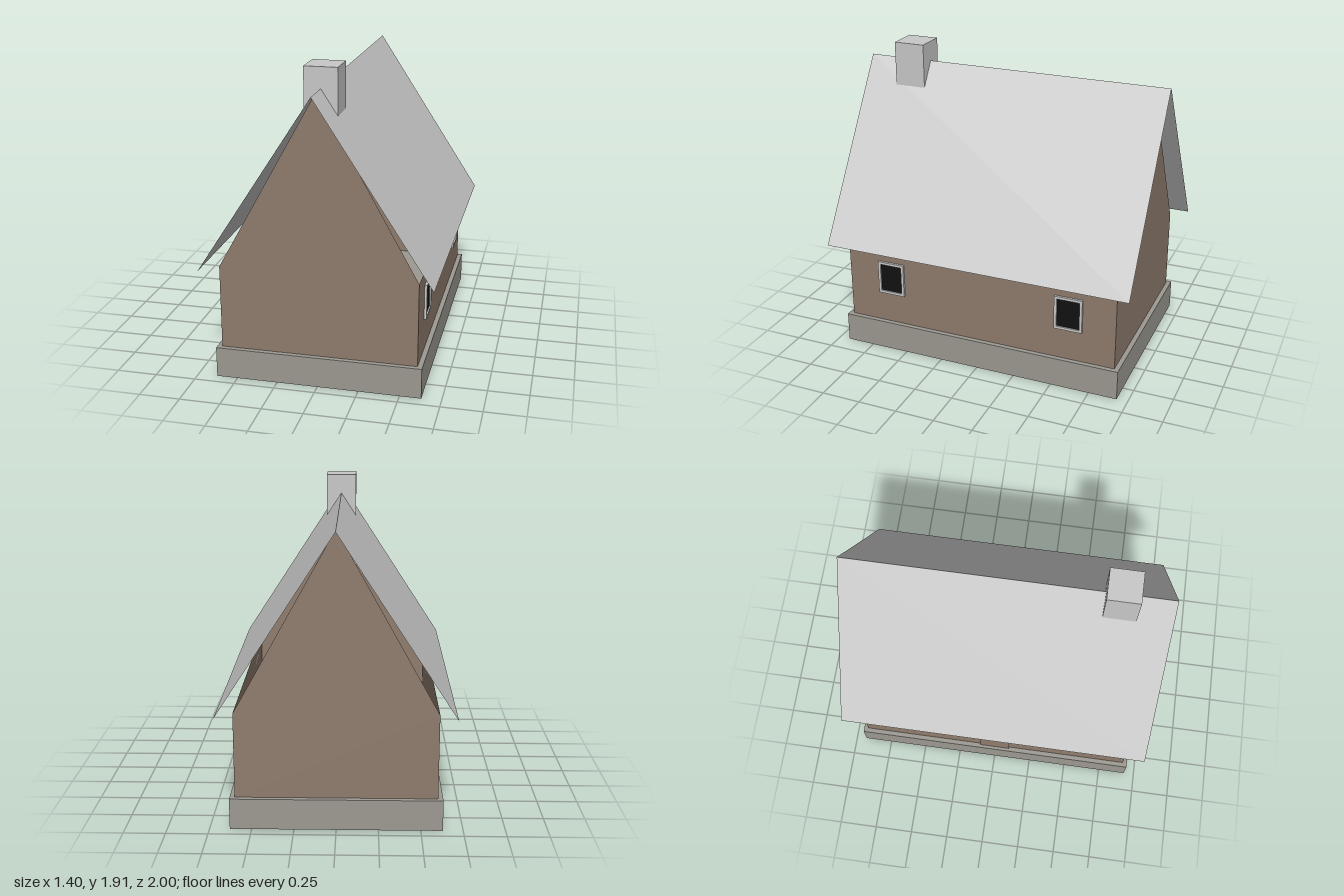
import * as THREE from 'three';

export function createModel() {
  const house = new THREE.Group();
  house.name = 'house';

  const paint = (name, color, side = THREE.FrontSide) => {
    const m = new THREE.MeshStandardMaterial({ color, side });
    m.name = name;
    return m;
  };
  const wallBrown = paint('wallBrown', 0x8f7c6d, THREE.DoubleSide);
  const paleGrey = paint('paleGrey', 0xc8c8c8, THREE.DoubleSide);
  const stone = paint('stone', 0x9c9991);
  const glass = paint('darkGlass', 0x111111);

  const add = (name, geometry, material, x = 0, y = 0, z = 0, parent = house) => {
    const mesh = new THREE.Mesh(geometry, material);
    mesh.name = name;
    mesh.position.set(x, y, z);
    parent.add(mesh);
    return mesh;
  };

  const BASE = 0.19, EAVE = 0.71, RIDGE = 1.79;
  const WALL_X = 0.6, WALL_Z = 0.9, ROOF_X = 0.7, ROOF_Z = 1;

  // Stone plinth
  add('plinth', new THREE.BoxGeometry(1.26, BASE, 1.86), stone, 0, BASE / 2, 0);

  // Gable walls, open between their sloping edges and the roof
  const gable = new THREE.Shape([
    [-WALL_X, BASE], [WALL_X, BASE], [WALL_X, EAVE], [0, RIDGE], [-WALL_X, EAVE],
  ].map(([x, y]) => new THREE.Vector2(x, y)));
  add('frontGable', new THREE.ShapeGeometry(gable), wallBrown, 0, 0, WALL_Z);
  add('backGable', new THREE.ShapeGeometry(gable), wallBrown, 0, 0, -WALL_Z).rotation.y = Math.PI;

  // Window: a raised frame around a slightly recessed pane
  const frameShape = new THREE.Shape([
    [-0.09, -0.11], [0.09, -0.11], [0.09, 0.11], [-0.09, 0.11],
  ].map(([x, y]) => new THREE.Vector2(x, y)));
  frameShape.holes.push(new THREE.Path([
    [-0.073, -0.093], [-0.073, 0.093], [0.073, 0.093], [0.073, -0.093],
  ].map(([x, y]) => new THREE.Vector2(x, y))));
  const frameGeometry = new THREE.ExtrudeGeometry(frameShape, { depth: 0.015, bevelEnabled: false });
  const paneGeometry = new THREE.PlaneGeometry(0.15, 0.19);

  const slope = Math.hypot(ROOF_X, RIDGE - EAVE);
  const pitch = Math.atan2(RIDGE - EAVE, ROOF_X);

  for (const s of [1, -1]) {
    const side = s > 0 ? 'left' : 'right';

    // Long side wall
    add(side + 'Wall', new THREE.PlaneGeometry(2 * WALL_Z, EAVE - BASE), wallBrown,
      s * WALL_X, (EAVE + BASE) / 2, 0).rotation.y = s * Math.PI / 2;

    // Thin roof slope, overhanging the walls
    const roof = new THREE.PlaneGeometry(slope, 2 * ROOF_Z);
    roof.rotateX(-Math.PI / 2);
    add(side + 'Roof', roof, paleGrey, s * ROOF_X / 2, (RIDGE + EAVE) / 2, 0).rotation.z = -s * pitch;

    // Two windows on each long wall
    for (const z of [-0.6, 0.6]) {
      const win = new THREE.Group();
      win.name = side + (z > 0 ? 'Front' : 'Back') + 'Window';
      win.position.set(s * WALL_X, 0.505, z);
      win.rotation.y = s * Math.PI / 2;
      add('windowFrame', frameGeometry, paleGrey, 0, 0, 0, win);
      add('windowPane', paneGeometry, glass, 0, 0, 0.006, win);
      house.add(win);
    }
  }

  // Plain door on the right wall
  add('door', new THREE.BoxGeometry(0.01, 0.42, 0.2), wallBrown, -WALL_X - 0.005, BASE + 0.21, 0);

  // Chimney rising from the floor through the ridge
  add('chimney', new THREE.BoxGeometry(0.2, 1.915 - BASE, 0.2), paleGrey, 0, (1.915 + BASE) / 2, 0.68);

  return house;
}
